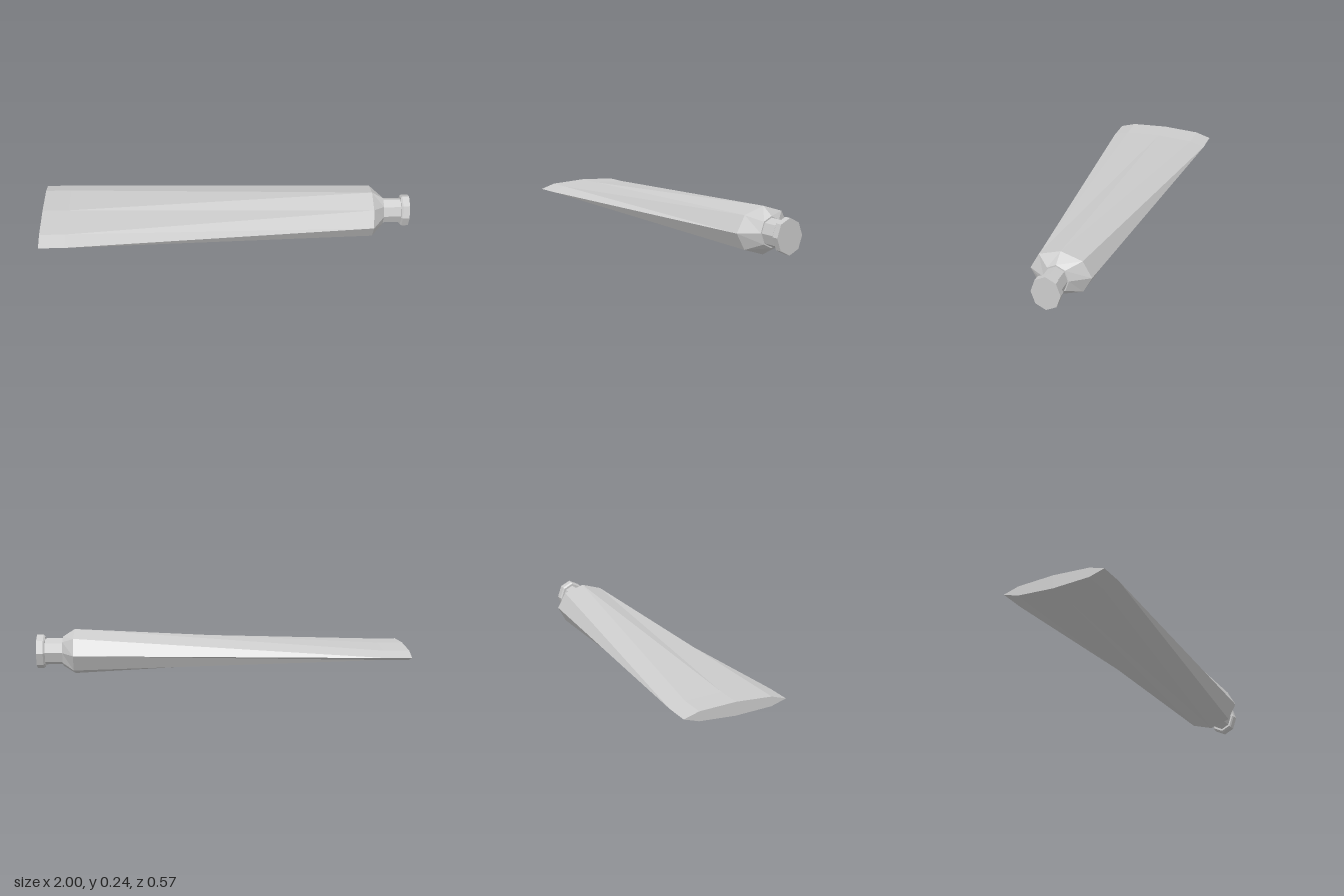
import * as THREE from 'three';

const SIDES = 8;
const CENTER_Y = 0.122;

// Closed loft along x through octagonal rings given as [x, half depth, half height]
function loft(name, rings, material) {
  const point = ([x, rz, ry], k) => {
    const a = (k / SIDES) * Math.PI * 2;
    return [x, CENTER_Y + Math.sin(a) * ry, Math.cos(a) * rz];
  };
  const pos = [];
  const tri = (a, b, c) => pos.push(...a, ...b, ...c);
  const first = rings[0];
  const last = rings[rings.length - 1];
  for (let k = 0; k < SIDES; k++) {
    for (let i = 0; i < rings.length - 1; i++) {
      const a = point(rings[i], k);
      const b = point(rings[i], k + 1);
      const c = point(rings[i + 1], k + 1);
      const d = point(rings[i + 1], k);
      tri(a, d, b);
      tri(b, d, c);
    }
    // end caps
    tri([first[0], CENTER_Y, 0], point(first, k), point(first, k + 1));
    tri([last[0], CENTER_Y, 0], point(last, k + 1), point(last, k));
  }
  const geometry = new THREE.BufferGeometry();
  geometry.setAttribute('position', new THREE.Float32BufferAttribute(pos, 3));
  geometry.computeVertexNormals();
  const mesh = new THREE.Mesh(geometry, material);
  mesh.name = name;
  return mesh;
}

export function createModel() {
  const group = new THREE.Group();
  group.name = 'squeezeTube';
  const material = new THREE.MeshStandardMaterial({ color: 0xcccccc, flatShading: true });

  // Flattened crimped end widening in height to the shoulder, then tapering to the neck
  group.add(loft('tubeBody', [
    [-1, 0.283, 0.036],
    [-0.86, 0.283, 0.036],
    [0.795, 0.162, 0.122],
    [0.86, 0.066, 0.08],
  ], material));

  // Narrow neck
  group.add(loft('neck', [
    [0.85, 0.06, 0.072],
    [0.965, 0.06, 0.072],
  ], material));

  // Rim at the mouth, with a slight chamfer behind
  group.add(loft('mouthRim', [
    [0.955, 0.07, 0.084],
    [0.964, 0.077, 0.092],
    [1, 0.077, 0.092],
  ], material));

  return group;
}
